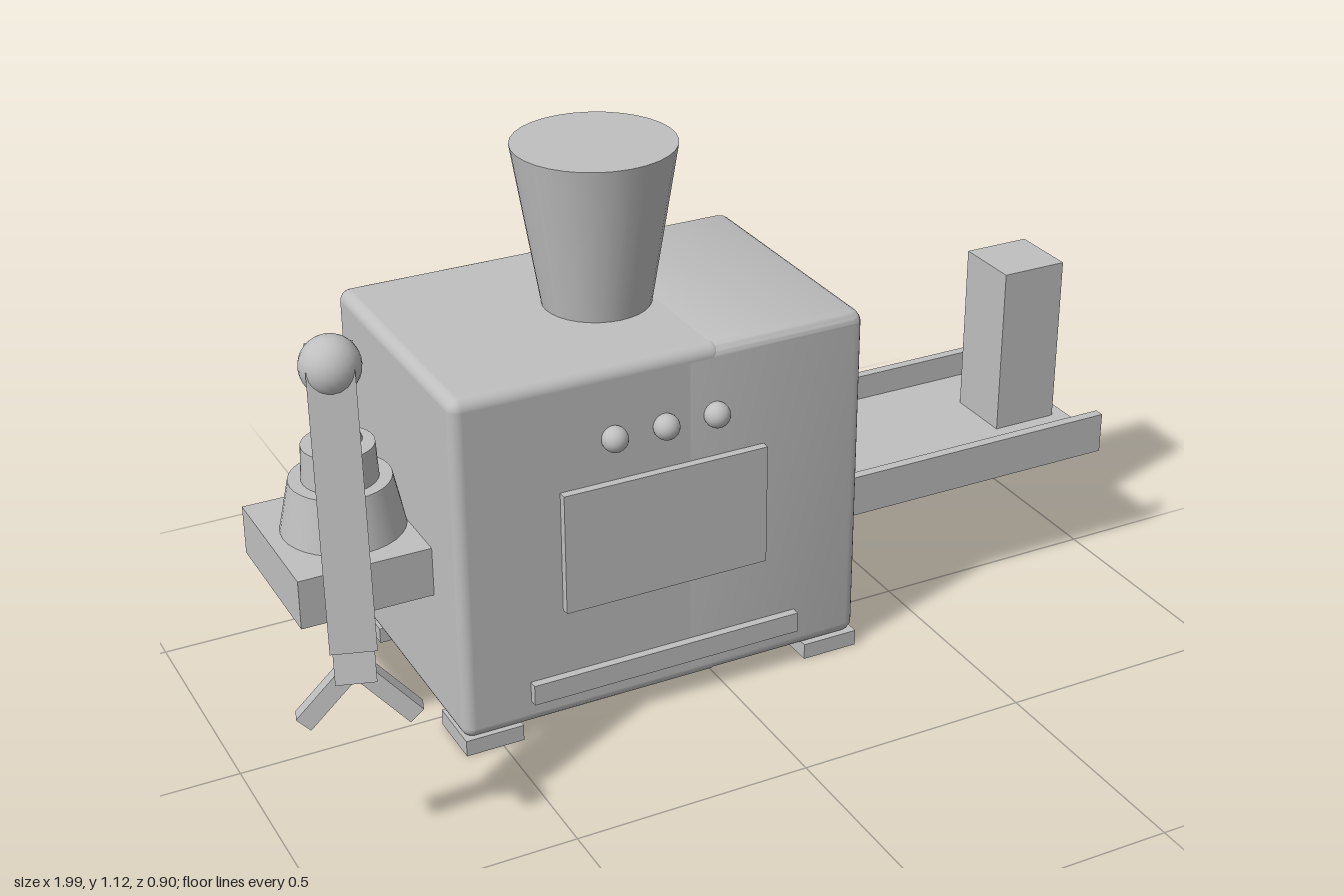
import * as THREE from 'three';
import { toCreasedNormals } from 'three/addons/utils/BufferGeometryUtils.js';
import { RoundedBoxGeometry } from 'three/addons/geometries/RoundedBoxGeometry.js';

const grey = new THREE.MeshStandardMaterial({ color: 0xbfbfbf });
grey.name = 'plain grey';

function add(parent, name, geometry, x = 0, y = 0, z = 0) {
  const mesh = new THREE.Mesh(geometry, grey);
  mesh.name = name;
  mesh.position.set(x, y, z);
  parent.add(mesh);
  return mesh;
}

// Box given by its lower and upper limits on each axis
function block(parent, name, [x0, x1], [y0, y1], [z0, z1]) {
  return add(parent, name, new THREE.BoxGeometry(x1 - x0, y1 - y0, z1 - z0),
    (x0 + x1) / 2, (y0 + y1) / 2, (z0 + z1) / 2);
}

// Square bar between two points, with its width along the given side direction
function beam(parent, name, from, to, width, depth, side) {
  const a = new THREE.Vector3(...from), b = new THREE.Vector3(...to);
  const up = b.clone().sub(a);
  const mesh = add(parent, name, new THREE.BoxGeometry(width, up.length(), depth));
  up.normalize();
  const front = new THREE.Vector3().crossVectors(side, up).normalize();
  const right = new THREE.Vector3().crossVectors(up, front);
  mesh.quaternion.setFromRotationMatrix(new THREE.Matrix4().makeBasis(right, up, front));
  mesh.position.copy(a).lerp(b, 0.5);
  return mesh;
}

function roundedRect(path, x0, x1, y0, y1, r) {
  path.moveTo(x0 + r, y0);
  path.lineTo(x1 - r, y0).absarc(x1 - r, y0 + r, r, -Math.PI / 2, 0);
  path.lineTo(x1, y1 - r).absarc(x1 - r, y1 - r, r, 0, Math.PI / 2);
  path.lineTo(x0 + r, y1).absarc(x0 + r, y1 - r, r, Math.PI / 2, Math.PI);
  path.lineTo(x0, y0 + r).absarc(x0 + r, y0 + r, r, Math.PI, Math.PI * 1.5);
  return path;
}

function buildBody(root) {
  const body = new THREE.Group();
  body.name = 'body';
  root.add(body);

  // Closed half of the housing, which also forms the back of the opening
  add(body, 'closedHousing', new RoundedBoxGeometry(0.58, 0.755, 0.6, 4, 0.025), -0.29, 0.4075, -0.15);

  // Open half: bevelled sleeve with a chamfered window
  const bevel = 0.025;
  const shape = roundedRect(new THREE.Shape(), -0.125, 0.425, 0.055, 0.76, 0.004);
  shape.holes.push(roundedRect(new THREE.Path(), -0.11, 0.41, 0.2, 0.6, 0.06));
  const sleeve = new THREE.ExtrudeGeometry(shape, {
    depth: 0.37, bevelEnabled: true, bevelThickness: bevel, bevelSize: bevel,
    bevelSegments: 4, curveSegments: 6,
  });
  sleeve.rotateY(Math.PI / 2);
  add(body, 'openHousing', toCreasedNormals(sleeve, 0.6), -0.075, 0, 0);

  // Feet
  for (const x of [-0.58, 0.195])
    for (const z of [-0.45, 0.025])
      block(body, 'foot', [x, x + 0.125], [0, 0.035], [z, z + 0.128]);

  // Front fittings
  block(body, 'frontPanel', [-0.36, 0.09], [0.278, 0.542], [0.14, 0.168]);
  block(body, 'frontBar', [-0.435, 0.168], [0.085, 0.13], [0.14, 0.168]);
  for (const x of [-0.245, -0.133, -0.021])
    add(body, 'button', new THREE.SphereGeometry(0.027, 24, 16), x, 0.637, 0.16);

  // Hopper
  add(body, 'hopper', new THREE.CylinderGeometry(0.168, 0.112, 0.345, 32), -0.133, 0.9525, -0.15);

  // Hanging flap in the opening
  beam(body, 'flap', [0.276, 0.59, -0.15], [0.358, 0.408, -0.15], 0.3, 0.012, new THREE.Vector3(0, 0, 1));
}

function buildTray(root) {
  const tray = new THREE.Group();
  tray.name = 'outputTray';
  root.add(tray);
  block(tray, 'trayFloor', [0.02, 1], [0.262, 0.296], [-0.368, 0.065]);
  for (const z of [-0.368, 0.043])
    block(tray, 'trayWall', [0.02, 1], [0.262, 0.353], [z, z + 0.022]);
  block(tray, 'carton', [0.817, 0.967], [0.294, 0.673], [-0.225, -0.075]);
}

function buildArm(root) {
  const arm = new THREE.Group();
  arm.name = 'robotArm';
  root.add(arm);

  // Bracket and turret
  block(arm, 'armBracket', [-0.857, -0.56], [0.303, 0.41], [-0.315, 0.018]);
  add(arm, 'turretBase', new THREE.CylinderGeometry(0.104, 0.128, 0.115, 32), -0.7, 0.4625, -0.152);
  add(arm, 'turretNeck', new THREE.CylinderGeometry(0.074, 0.078, 0.08, 32), -0.7, 0.555, -0.152);

  // Shoulder, elbow and links; the arm swings in a turned vertical plane
  const side = new THREE.Vector3(0.947, 0, 0.32);
  const shoulder = [-0.695, 0.585, -0.165];
  const elbow = [-0.85, 0.987, 0.288];
  const wrist = [-0.872, 0.47, 0.37];
  const hand = [-0.876, 0.41, 0.384];
  add(arm, 'shoulder', new THREE.SphereGeometry(0.05, 24, 16), ...shoulder);
  beam(arm, 'upperArm', shoulder, elbow, 0.085, 0.085, side);
  add(arm, 'elbow', new THREE.SphereGeometry(0.056, 24, 16), ...elbow);
  beam(arm, 'forearm', elbow, wrist, 0.085, 0.075, side);
  beam(arm, 'wrist', wrist, hand, 0.075, 0.07, side);

  // Two spread fingers
  for (const s of [-1, 1]) {
    const at = (out, y, z) => [hand[0] + s * out * side.x, y, z + s * out * side.z];
    beam(arm, 'finger', at(0.015, 0.425, 0.384), at(0.102, 0.333, 0.393), 0.035, 0.036, side);
  }
}

export function createModel() {
  const root = new THREE.Group();
  root.name = 'packingMachine';
  buildBody(root);
  buildTray(root);
  buildArm(root);
  return root;
}
